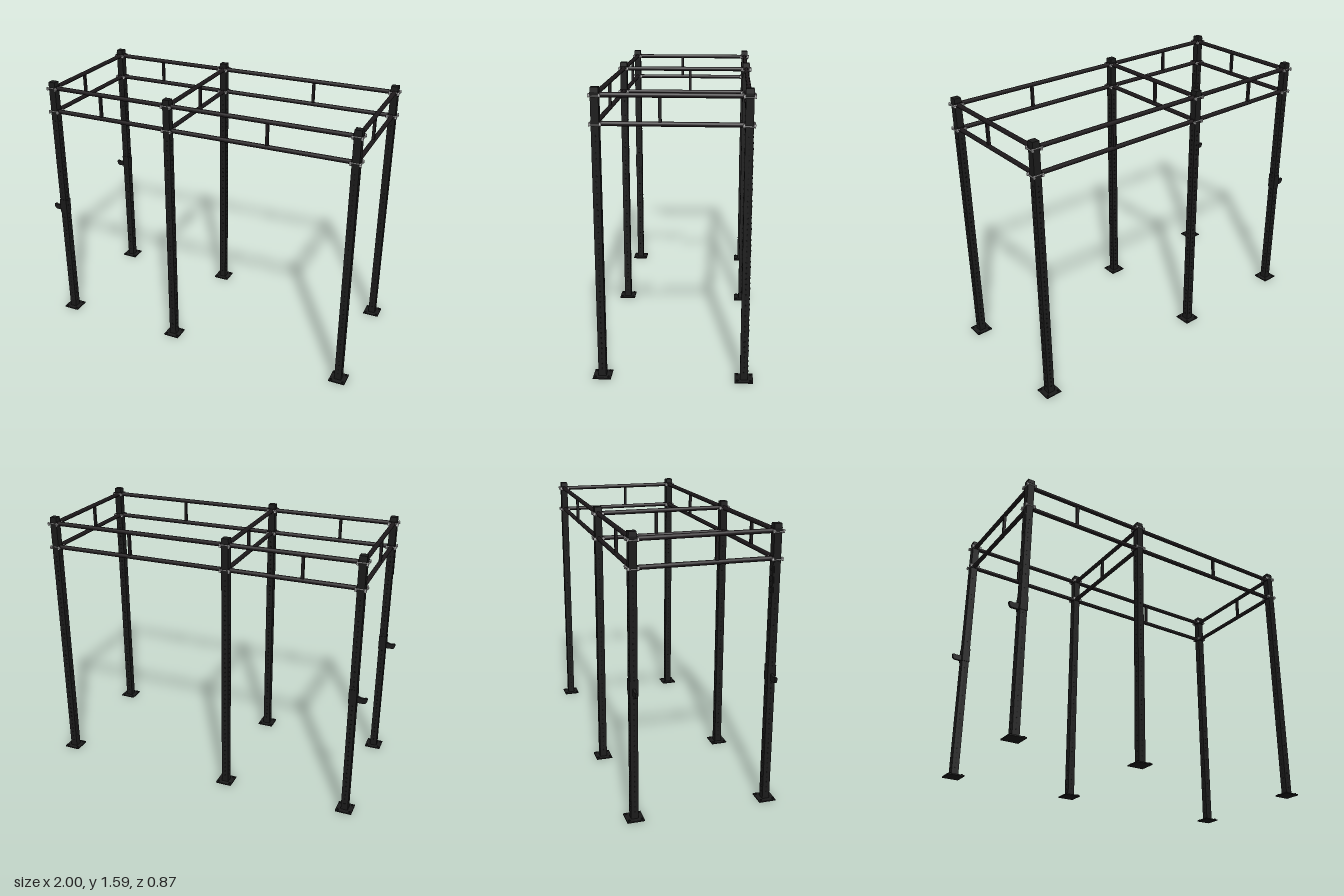
import * as THREE from 'three';
import { mergeGeometries } from 'three/addons/utils/BufferGeometryUtils.js';

const steel = new THREE.MeshStandardMaterial({ color: 0x1a1a1a, name: 'blackSteel' });
const barSteel = new THREE.MeshStandardMaterial({ color: 0x1d191b, name: 'barSteel' });
const holeBlack = new THREE.MeshStandardMaterial({ color: 0x0f0f0f, name: 'holeBlack' });
const zinc = new THREE.MeshStandardMaterial({ color: 0xb4b4b4, name: 'zincBolt' });

const POST_X = [-0.92, -0.155, 0.947];
const POST_Z = [0.385, -0.385];
const RAIL_Y = [1.4, 1.545];
const HALF = 0.021; // half the post width
const BAR = 0.013; // bar radius

function add(parent, name, geometry, material, x = 0, y = 0, z = 0) {
  const mesh = new THREE.Mesh(geometry, material);
  mesh.name = name;
  mesh.position.set(x, y, z);
  parent.add(mesh);
  return mesh;
}
const box = (w, h, d) => new THREE.BoxGeometry(w, h, d);

// Short cylinder lying along +z, turned about y to face a direction
function stud(radius, length, sides, x, y, out, turn = 0) {
  return new THREE.CylinderGeometry(radius, radius, length, sides)
    .rotateX(Math.PI / 2).translate(x, y, out).rotateY(turn);
}

// Rows of adjustment holes on all four faces, with plugs on two of them
function holeGeometry() {
  const parts = [];
  for (let side = 0; side < 4; side++) {
    const length = side === 1 || side === 2 ? 0.005 : 0.001;
    for (let y = 0.05; y < 1.36; y += 0.03) {
      parts.push(stud(0.005, length, 8, 0, y, HALF, side * Math.PI / 2));
    }
  }
  return mergeGeometries(parts);
}

// Square post with cap, foot plate and anchors
function createPost(holes) {
  const post = new THREE.Group();
  post.name = 'post';
  add(post, 'upright', box(HALF * 2, 1.56, HALF * 2), steel, 0, 0.78, 0);
  const cap = new THREE.CylinderGeometry(0.029, 0.031, 0.025, 4).rotateY(Math.PI / 4).toNonIndexed();
  cap.computeVertexNormals();
  add(post, 'cap', cap, steel, 0, 1.5725, 0);
  add(post, 'adjustmentHoles', holes, holeBlack);
  add(post, 'footPlate', box(0.098, 0.007, 0.098), steel, 0, 0.0035, 0);
  for (const x of [-0.036, 0.036]) {
    for (const z of [-0.036, 0.036]) {
      add(post, 'anchorBolt', new THREE.CylinderGeometry(0.006, 0.006, 0.006, 6), steel, x, 0.01, z);
    }
  }
  return post;
}

// Flange on a post face, held by bolts that run along both sides of the post
function createJoint(turn, boltY) {
  const joint = new THREE.Group();
  joint.name = 'railJoint';
  add(joint, 'flange', box(0.05, 0.026, 0.004), barSteel, 0, 0, HALF + 0.002);
  const bolts = [];
  for (const x of [-0.0265, 0.0265]) {
    bolts.push(stud(0.0038, HALF * 2 + 0.022, 8, x, boltY, 0));
    for (const end of [-1, 1]) {
      bolts.push(stud(0.0072, 0.006, 6, x, boltY, end * (HALF + 0.007)));
    }
  }
  add(joint, 'bolts', mergeGeometries(bolts), zinc);
  joint.rotation.y = turn;
  return joint;
}

// Pair of bars joined by a short strut, between two points on plan
function createSpan(name, x0, z0, x1, z1, strutAt) {
  const span = new THREE.Group();
  span.name = name;
  const alongX = z0 === z1;
  const boltY = alongX ? 0.004 : -0.004;
  const length = Math.abs(alongX ? x1 - x0 : z1 - z0) - HALF * 2;
  for (const y of RAIL_Y) {
    const geometry = new THREE.CylinderGeometry(BAR, BAR, length, 16);
    if (alongX) geometry.rotateZ(Math.PI / 2);
    else geometry.rotateX(Math.PI / 2);
    add(span, 'bar', geometry, barSteel, (x0 + x1) / 2, y, (z0 + z1) / 2);
    const turn = Math.atan2(x1 - x0, z1 - z0);
    const start = createJoint(turn, boltY);
    start.position.set(x0, y, z0);
    const end = createJoint(turn + Math.PI, boltY);
    end.position.set(x1, y, z1);
    span.add(start, end);
  }
  const gap = RAIL_Y[1] - RAIL_Y[0] - BAR;
  add(span, 'strut', box(0.016, gap, 0.016), barSteel,
    alongX ? strutAt : x0, (RAIL_Y[0] + RAIL_Y[1]) / 2, alongX ? z0 : strutAt);
  return span;
}

// Sleeve with a shallow hook, pointing outward along -x
function createHook() {
  const hook = new THREE.Group();
  hook.name = 'barHook';
  add(hook, 'sleeve', box(0.046, 0.088, 0.048), steel, 0, 0.768, 0);
  const shape = new THREE.Shape();
  shape.moveTo(-0.018, 0.728);
  shape.lineTo(-0.064, 0.728);
  shape.quadraticCurveTo(-0.08, 0.732, -0.08, 0.76);
  shape.lineTo(-0.07, 0.764);
  shape.quadraticCurveTo(-0.052, 0.755, -0.034, 0.764);
  shape.lineTo(-0.018, 0.768);
  const cradle = new THREE.ExtrudeGeometry(shape, { depth: 0.014, bevelEnabled: false, curveSegments: 5 });
  add(hook, 'cradle', cradle, steel, 0, 0, -0.007);
  return hook;
}

export function createModel() {
  const rig = new THREE.Group();
  rig.name = 'pullUpRig';
  const holes = holeGeometry();

  for (const z of POST_Z) {
    for (const x of POST_X) {
      const post = createPost(holes);
      post.position.set(x, 0, z);
      rig.add(post);
    }
    const side = z > 0 ? 'front' : 'back';
    rig.add(createSpan(side + 'ShortSpan', POST_X[0], z, POST_X[1], z, -0.597));
    rig.add(createSpan(side + 'LongSpan', POST_X[1], z, POST_X[2], z, 0.449));
    const hook = createHook();
    hook.position.set(POST_X[0], 0, z);
    rig.add(hook);
  }

  // Cross spans, the middle strut sits off to the other side
  const struts = [0.06, -0.034, 0.06];
  POST_X.forEach((x, i) => rig.add(createSpan('crossSpan', x, POST_Z[0], x, POST_Z[1], struts[i])));

  // Slim plate on the outer face of a corner post
  add(rig, 'sidePlate', box(0.004, 0.17, 0.03), steel, POST_X[0] - HALF - 0.002, 1.305, POST_Z[0]);
  return rig;
}
